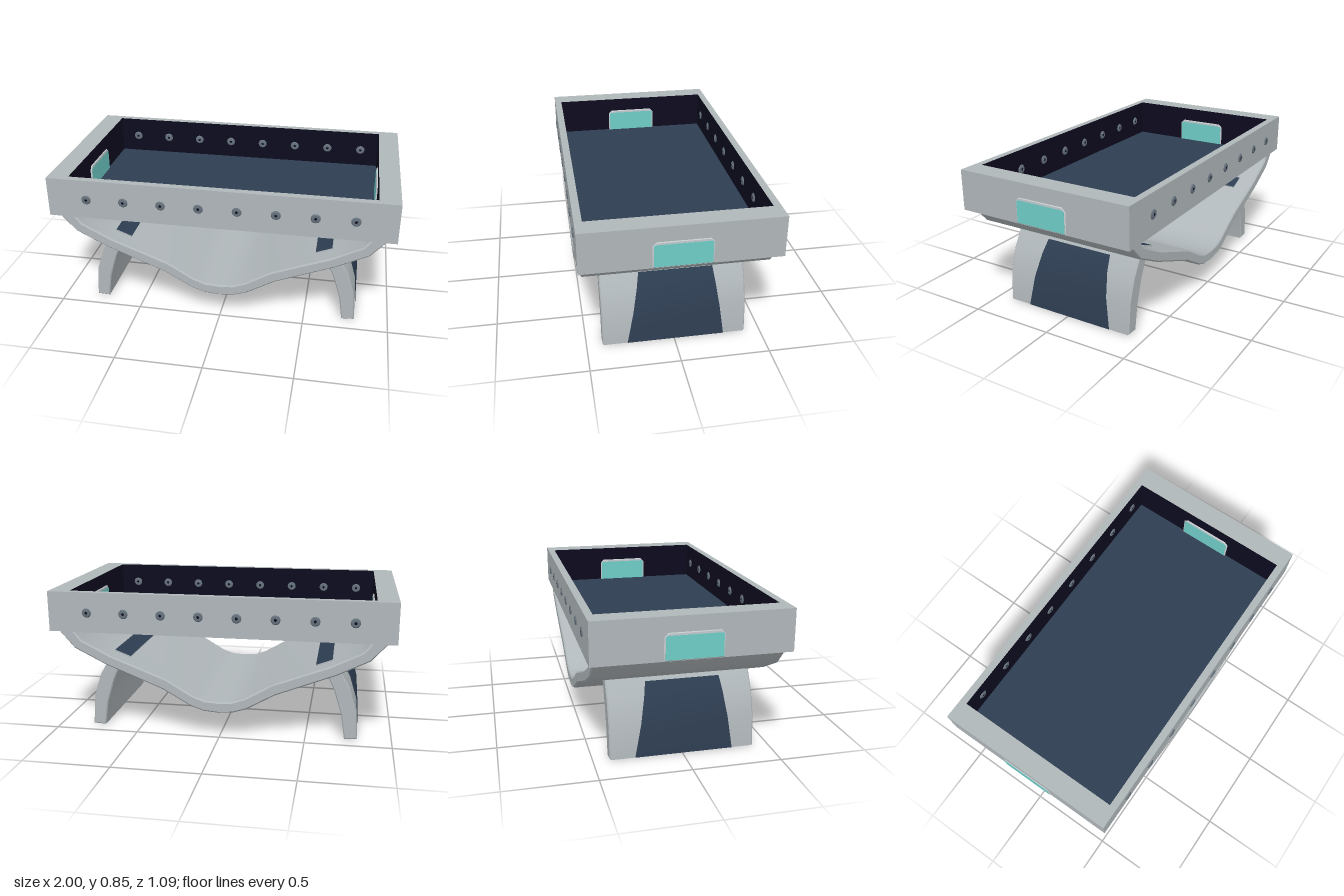
import * as THREE from 'three';
import { toCreasedNormals } from 'three/addons/utils/BufferGeometryUtils.js';

const mat = (name, color, side = THREE.FrontSide) => {
  const m = new THREE.MeshStandardMaterial({ color, side });
  m.name = name;
  return m;
};

export function createModel() {
  const root = new THREE.Group();
  const grey = mat('light grey', 0xb0b7ba);
  const navy = mat('navy', 0x2d3d51, THREE.DoubleSide);
  const dark = mat('near black', 0x0d0b1e);
  const teal = mat('teal', 0x6fcdc8);
  const steel = mat('steel', 0x66727d);
  const trim = mat('pale trim', 0xc3cacd);

  const add = (parent, name, geo, material, x = 0, y = 0, z = 0) => {
    const m = new THREE.Mesh(geo, material);
    m.name = name;
    m.position.set(x, y, z);
    parent.add(m);
    return m;
  };
  // Outline in x/y, extruded symmetrically along z with a small bevel
  const slab = (pts, depth, bevel) => {
    const shape = new THREE.Shape(pts.map(p => new THREE.Vector2(p[0], p[1])));
    const g = new THREE.ExtrudeGeometry(shape, {
      depth: depth - 2 * bevel, bevelEnabled: bevel > 0, bevelThickness: bevel,
      bevelSize: bevel, bevelOffset: -bevel, bevelSegments: 1,
    });
    g.translate(0, 0, -depth / 2 + bevel);
    return toCreasedNormals(g, 0.6);
  };
  const mirrored = half => [...half.slice(1).reverse().map(p => [-p[0], p[1]]), ...half];

  // Tray frame: pale outside and top, dark inside and underneath
  const X = 0.995, Z = 0.537, IX = 0.875, IZ = 0.495, Y0 = 0.615, Y1 = 0.85;
  const H = Y1 - Y0, YC = (Y0 + Y1) / 2;
  for (const s of [1, -1]) {
    const inner = s > 0 ? [grey, dark] : [dark, grey];
    add(root, 'endWall', new THREE.BoxGeometry(X - IX, H, 2 * Z),
      [...inner, grey, dark, grey, grey], s * (X + IX) / 2, YC, 0);
    add(root, 'longWall', new THREE.BoxGeometry(2 * IX, H, Z - IZ),
      [grey, grey, grey, dark, ...inner], 0, YC, s * (Z + IZ) / 2);
  }
  add(root, 'trayFloor', new THREE.BoxGeometry(2 * IX, 0.008, 2 * IZ), navy, 0, Y0 + 0.005, 0);

  // Bolts on both faces of the long walls
  const washer = new THREE.CylinderGeometry(0.022, 0.028, 0.006, 12).rotateX(Math.PI / 2);
  const ring = new THREE.TorusGeometry(0.011, 0.003, 6, 12);
  const hole = new THREE.CircleGeometry(0.008, 12);
  const makeBolt = (x, z, flip) => {
    const bolt = new THREE.Group();
    bolt.name = 'bolt';
    add(bolt, 'boltHead', washer, steel, 0, 0, 0.003);
    add(bolt, 'boltRing', ring, steel, 0, 0, 0.005);
    add(bolt, 'boltHole', hole, dark, 0, 0, 0.0065);
    bolt.position.set(x, 0.73, z);
    if (flip) bolt.rotation.y = Math.PI;
    root.add(bolt);
  };
  for (let i = 0; i < 8; i++) {
    const x = -0.764 + i * 0.2183;
    makeBolt(x, Z, false);
    makeBolt(x, -Z, true);
    makeBolt(x, IZ, true);
    makeBolt(x, -IZ, false);
  }

  // Curved shell slung below the tray
  const lower = [[0, 0.157], [0.085, 0.164], [0.165, 0.19], [0.33, 0.284], [0.67, 0.418], [0.855, 0.51], [0.95, 0.617]];
  const upper = [[0, 0.222], [0.08, 0.228], [0.15, 0.252], [0.31, 0.346], [0.64, 0.472], [0.815, 0.56], [0.86, 0.617]];
  add(root, 'shell', slab([...mirrored(lower), ...mirrored(upper).reverse()], 1.034, 0.008), grey);

  // Everything repeated at each end: leg, painted panel, foot plate and window
  const legOuter = [[0.802, 0.004], [0.787, 0.19], [0.743, 0.325], [0.685, 0.424]];
  const legInner = [[0.612, 0.4], [0.66, 0.295], [0.705, 0.15], [0.727, 0]];
  const legGeo = slab([...legInner.slice().reverse(), ...legOuter.slice().reverse()].reverse(), 0.82, 0.006);

  // Tapered panel following the outer face of the leg
  const pos = [], idx = [];
  [...legOuter.slice(0, 3), [0.697, 0.404]].forEach(([x, y], i) => {
    const t = y / 0.405;
    pos.push(x + 0.004, y + 0.001, 0.27 - 0.08 * t, x + 0.004, y + 0.001, -0.285 + 0.055 * t);
    if (i) {
      const a = 2 * i - 2;
      idx.push(a, a + 1, a + 3, a, a + 3, a + 2);
    }
  });
  const panelGeo = new THREE.BufferGeometry();
  panelGeo.setAttribute('position', new THREE.Float32BufferAttribute(pos, 3));
  panelGeo.setIndex(idx);
  panelGeo.computeVertexNormals();

  // Window outline with clipped top corners, in z/y
  const arch = (w, y0, y1, c) => [[-w, y0], [w, y0], [w, y1 - c], [w - c, y1], [-w + c, y1], [-w, y1 - c]];
  const rimGeo = slab(arch(0.16, 0.617, 0.765, 0.022), 0.132, 0.004).rotateY(Math.PI / 2);
  const paneGeo = slab(arch(0.153, 0.622, 0.75, 0.008), 0.134, 0).rotateY(Math.PI / 2);

  for (const s of [1, -1]) {
    const end = new THREE.Group();
    end.name = s > 0 ? 'leftEnd' : 'rightEnd';
    end.rotation.y = s > 0 ? 0 : Math.PI;
    add(end, 'leg', legGeo, grey);
    add(end, 'legPanel', panelGeo, navy);
    add(end, 'legCap', new THREE.BoxGeometry(0.1, 0.012, 0.82), [grey, grey, navy, grey, grey, grey],
      0.6, 0.459, 0).rotation.z = 0.365;
    add(end, 'windowRim', rimGeo, trim, 0.933, 0, 0);
    add(end, 'windowPane', paneGeo, teal, 0.933, 0, 0);
    root.add(end);
  }
  return root;
}
